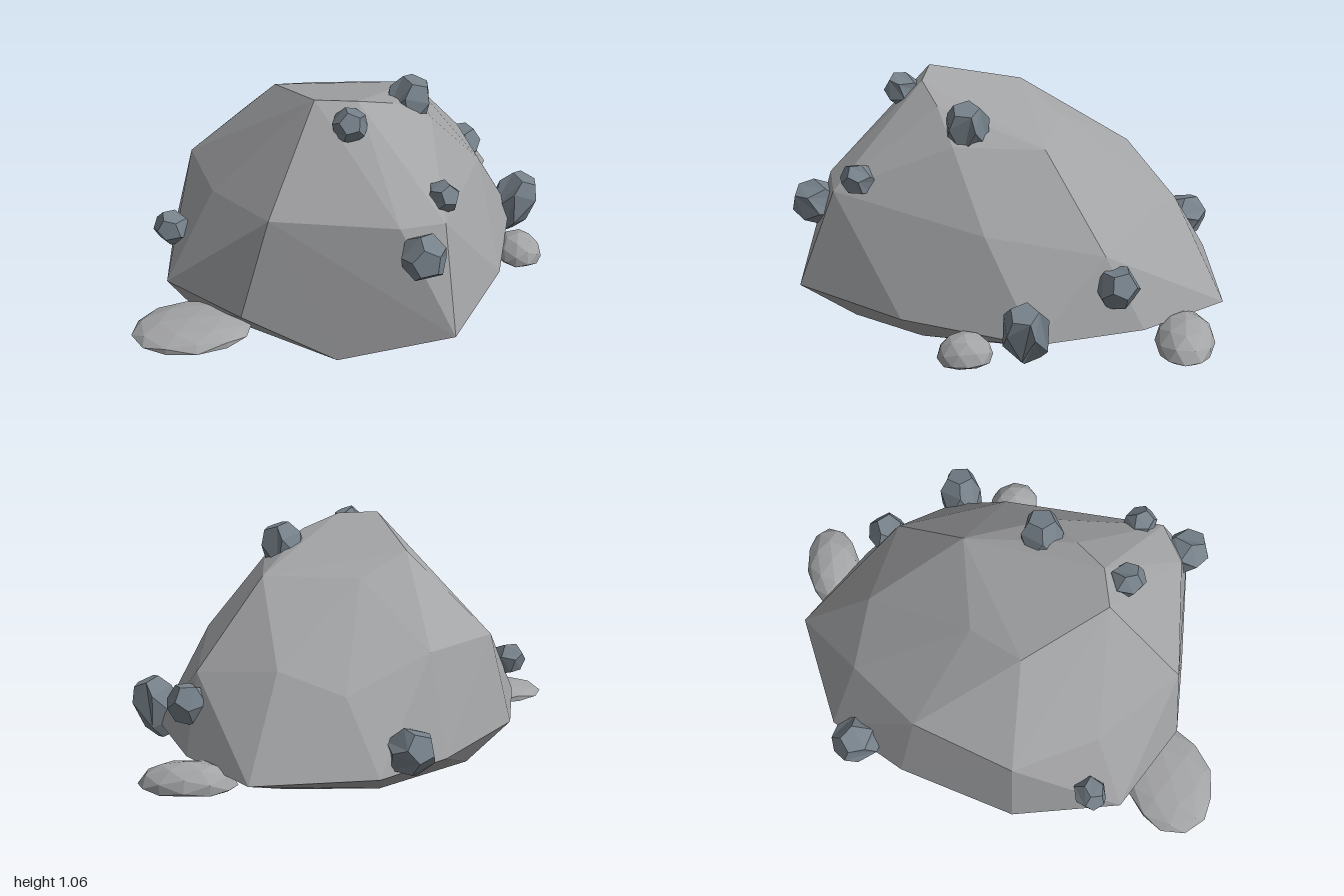
import * as THREE from 'three';
import { ConvexGeometry } from 'three/addons/geometries/ConvexGeometry.js';

const stone = new THREE.MeshStandardMaterial({ color: 0xa3a4a6, flatShading: true });
stone.name = 'paleStone';
const slate = new THREE.MeshStandardMaterial({ color: 0x76818a, flatShading: true });
slate.name = 'blueGreySlate';

const UP = new THREE.Vector3(0, 1, 0);

function addMesh(parent, name, geometry, material) {
  const mesh = new THREE.Mesh(geometry, material);
  mesh.name = name;
  parent.add(mesh);
  return mesh;
}

// Twelve-sided nodule, one face towards dir, its inner half stretched into a stem
function nodule([x, y, z], r, dir, stem) {
  const g = new THREE.DodecahedronGeometry(r);
  const faceAxis = new THREE.Vector3(1, 0, (1 + Math.sqrt(5)) / 2).normalize();
  g.applyQuaternion(new THREE.Quaternion().setFromUnitVectors(faceAxis, UP));
  const p = g.attributes.position;
  for (let i = 0; i < p.count; i++) {
    if (p.getY(i) < 0) p.setY(i, p.getY(i) - stem);
  }
  const d = new THREE.Vector3(...dir).normalize();
  g.applyQuaternion(new THREE.Quaternion().setFromUnitVectors(UP, d));
  g.translate(x, y, z);
  g.computeVertexNormals();
  return g;
}

// Low dome with a flat underside
function slab([x, y, z], [rx, ry, rz], turn) {
  const g = new THREE.IcosahedronGeometry(1, 1);
  const p = g.attributes.position;
  for (let i = 0; i < p.count; i++) {
    p.setY(i, Math.max(p.getY(i), -0.15) + 0.15);
  }
  g.scale(rx, ry / 1.15, rz);
  g.rotateY(turn);
  g.translate(x, y, z);
  g.computeVertexNormals();
  return g;
}

export function createModel() {
  const group = new THREE.Group();
  group.name = 'boulder';

  // Main rock: cross-sections from the ground up, wrapped in a hull
  const sections = [
    // ground outline
    [[-0.72, 0, 0.4], [-0.07, 0, 0.87], [0.4, 0, 0.7], [0.57, 0.01, 0.35], [0.6, 0.01, -0.15],
      [0.42, 0.02, -0.55], [0.15, 0.02, -0.71], [-0.25, 0.02, -0.66], [-0.62, 0, -0.2]],
    // wide rim
    [[-0.83, 0.17, 0.45], [-0.49, 0.17, 0.77], [0.44, 0.16, 0.95], [0.7, 0.16, 0.42], [0.83, 0.15, -0.2],
      [0.61, 0.14, -0.66], [0.28, 0.13, -1], [-0.27, 0.14, -0.89], [-0.54, 0.14, -0.58], [-0.82, 0.16, -0.07]],
    // shoulder
    [[-0.72, 0.58, -0.06], [-0.61, 0.58, 0.35], [-0.36, 0.64, 0.75], [0.2, 0.64, 0.84], [0.4, 0.63, 0.78],
      [0.63, 0.56, 0.05], [0.59, 0.48, -0.48], [0.2, 0.54, -0.65], [-0.11, 0.46, -0.75], [-0.46, 0.6, -0.49]],
    // crown
    [[-0.15, 1.06, 0.43], [0.04, 1.05, 0.43], [0.2, 0.99, 0.33], [0.38, 0.87, 0.23],
      [0.33, 0.86, -0.18], [-0.32, 0.95, 0.02], [-0.12, 0.86, -0.19]],
  ];
  const points = sections.flat().map((p) => new THREE.Vector3(...p));
  addMesh(group, 'mainRock', new ConvexGeometry(points), stone);

  // Nodules: centre, radius, outward direction, stem length
  const nodules = [
    [[0, 0.99, 0.54], 0.08, [0, 0.5, 0.9], 0.03],
    [[0.29, 0.95, 0.18], 0.105, [0.3, 0.9, 0], 0.08],
    [[0.4, 0.7, 0.67], 0.075, [0.4, 0.5, 0.8], 0.02],
    [[0.3, 0.53, 0.9], 0.105, [0.05, 0.2, 1], 0.03],
    [[-0.81, 0.37, 0.3], 0.08, [-0.8, 0.5, 0.2], 0.02],
    [[0.86, 0.26, -0.16], 0.108, [0.4, 0.9, 0], 0.1],
    [[0.62, 0.35, -0.54], 0.1, [0.8, 0.5, -0.4], 0.03],
    [[-0.4, 0.24, -0.79], 0.11, [-0.5, 0.4, -0.8], 0.04],
  ];
  nodules.forEach(([c, r, d, s], i) => addMesh(group, `nodule${i + 1}`, nodule(c, r, d, s), slate));

  // Flat slabs lying around the foot
  const slabs = [
    [[-0.71, 0.07, 0.71], [0.27, 0.07, 0.21], 0.15],
    [[0.57, 0.06, -0.84], [0.22, 0.12, 0.135], 0.05],
    [[0.83, 0.06, 0.11], [0.11, 0.125, 0.125], 0.3],
  ];
  slabs.forEach(([c, s, t], i) => addMesh(group, `slab${i + 1}`, slab(c, s, t), stone));

  return group;
}
